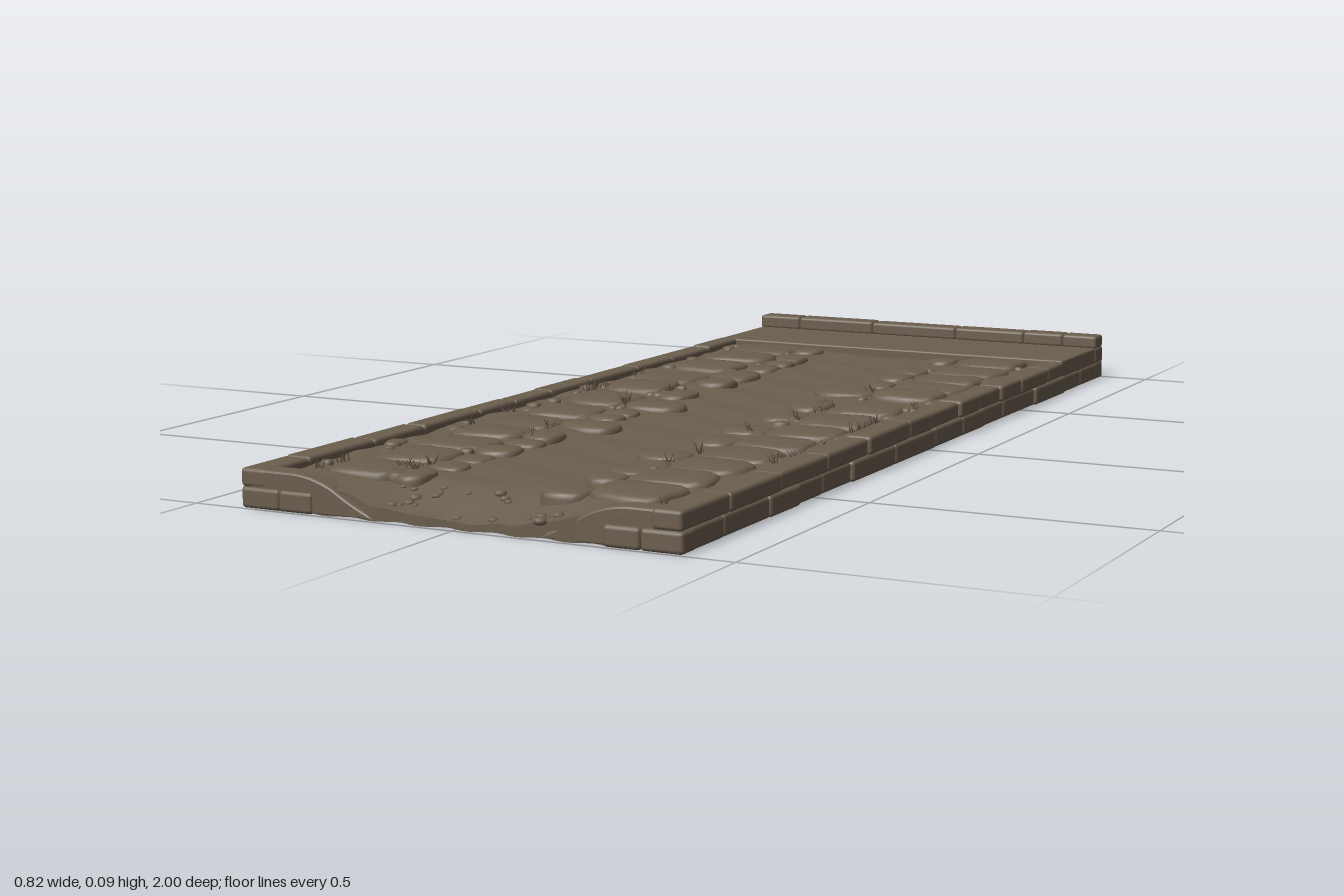
import * as THREE from 'three';
import { RoundedBoxGeometry } from 'three/addons/geometries/RoundedBoxGeometry.js';

let seed = 7;
const rand = (a = 0, b = 1) => {
  seed = (seed * 16807) % 2147483647;
  return a + (b - a) * (seed / 2147483647);
};
const smooth = THREE.MathUtils.smoothstep;

// Height of the trodden earth: a shallow trough that spills down at the front
function groundHeight(x, z) {
  const ripple = 0.0018 * Math.sin(x * 31 + z * 17) + 0.0014 * Math.sin(z * 43 - x * 23) + 0.001 * Math.sin(x * 90 + z * 71);
  const bank = 0.004 * smooth(Math.abs(x), 0.08, 0.22);
  const spill = smooth(z, 0.84, 1) * (1 - smooth(Math.abs(x), 0.1, 0.29));
  return 0.05 + bank + ripple - 0.036 * spill;
}

// Domed paving stone with a rounded-square outline, lofted from rings
function stoneGeometry(w, d, h, power) {
  const rings = [[1, 0], [1, 0.6], [0.95, 0.82], [0.86, 0.94], [0.6, 1], [0, 1.03]];
  const n = 20, pos = [], index = [];
  const wobble = rand(0, 6), amount = rand(0.02, 0.07);
  for (const [s, t] of rings) for (let i = 0; i < n; i++) {
    const a = (i / n) * Math.PI * 2, c = Math.cos(a), q = Math.sin(a);
    const r = s * (1 + amount * Math.sin(a * 3 + wobble)) / Math.pow(Math.abs(c) ** power + Math.abs(q) ** power, 1 / power);
    pos.push(c * r * w / 2, t * h, q * r * d / 2);
  }
  for (let k = 0; k < rings.length - 1; k++) for (let i = 0; i < n; i++) {
    const a = k * n + i, b = k * n + (i + 1) % n;
    index.push(a, a + n, b, b, a + n, b + n);
  }
  const g = new THREE.BufferGeometry();
  g.setAttribute('position', new THREE.Float32BufferAttribute(pos, 3));
  g.setIndex(index);
  g.computeVertexNormals();
  return g;
}

export function createModel() {
  const root = new THREE.Group();
  const earth = new THREE.MeshStandardMaterial({ color: 0x6b5e4e, side: THREE.DoubleSide });
  earth.name = 'brown stone';

  const group = (name) => {
    const g = new THREE.Group();
    g.name = name;
    root.add(g);
    return g;
  };
  const add = (parent, name, geometry, x, y, z) => {
    const m = new THREE.Mesh(geometry, earth);
    m.name = name;
    m.position.set(x, y, z);
    parent.add(m);
    return m;
  };
  const block = (parent, name, x0, x1, y0, y1, z0, z1, r = 0.007) =>
    add(parent, name, new RoundedBoxGeometry(x1 - x0, y1 - y0, z1 - z0, 2, r), (x0 + x1) / 2, (y0 + y1) / 2, (z0 + z1) / 2);

  // Earth bed: a solid box whose top follows the ground height
  const bed = new THREE.BoxGeometry(0.74, 1, 1.745, 60, 1, 120);
  bed.translate(0, 0.5, 0.117);
  const p = bed.attributes.position;
  for (let i = 0; i < p.count; i++) {
    const x = p.getX(i), z = p.getZ(i);
    if (p.getY(i) > 0.5) p.setY(i, groundHeight(x, z));
    if (z > 0.985) p.setZ(i, z + 0.006 * Math.sin(x * 70) - 0.003);
  }
  bed.computeVertexNormals();
  add(root, 'earthBed', bed, 0, 0, 0);

  // Side walls: two courses of worn blocks with staggered joints
  for (const side of [-1, 1]) {
    const wall = group(side < 0 ? 'rightWall' : 'leftWall');
    add(wall, 'wallCore', new THREE.BoxGeometry(0.036, 0.06, 1.72), side * 0.379, 0.03, 0.12);
    [[0, 0.037], [0.035, 0.068]].forEach(([y0, y1], course) => {
      let z = -0.745;
      while (z < 0.99) {
        let end = z + rand(0.09, 0.2);
        if (end > 0.92) end = 0.995;
        const bulge = smooth(z, 0.25, 0.75) * (side < 0 ? 0.009 : 0.004);
        const outer = 0.405 + bulge + rand(-0.003, 0.003) - course * 0.001;
        const inner = side < 0 ? 0.361 : 0.354;
        const xs = [side * inner, side * outer].sort((a, b) => a - b);
        const b = block(wall, 'wallBlock', xs[0], xs[1], y0, y1 + course * rand(-0.002, 0.001), z, end);
        if (course) b.rotation.y = rand(-0.015, 0.015);
        z = end;
      }
    });
  }

  // Broken front kerb: blocks worn down towards the middle
  for (const side of [-1, 1]) {
    const kerb = group(side < 0 ? 'frontKerbRight' : 'frontKerbLeft');
    const s = new THREE.Shape();
    s.moveTo(0.16, 0.004);
    s.lineTo(0.39, 0.004);
    s.lineTo(0.39, 0.062);
    s.lineTo(0.31, 0.062);
    s.quadraticCurveTo(0.26, 0.06, 0.22, 0.034);
    s.quadraticCurveTo(0.19, 0.016, 0.16, 0.004);
    const g = new THREE.ExtrudeGeometry(s, { depth: 0.033, bevelSize: 0.004, bevelThickness: 0.005, bevelSegments: 2, curveSegments: 8 });
    const m = add(kerb, 'wornKerb', g, 0, 0, side < 0 ? 0.989 : 0.951);
    if (side < 0) m.rotation.y = Math.PI;
    const edges = [0.27, 0.335, 0.41];
    for (let i = 0; i < 2; i++) {
      const [a, b] = [side * edges[i], side * edges[i + 1]].sort((u, v) => u - v);
      block(kerb, 'kerbBlock', a, b, 0, 0.036, 0.95, 0.998);
    }
  }

  // Back platform with coursed ends and a raised kerb
  const platform = group('backPlatform');
  block(platform, 'platformSlab', -0.4, 0.4, 0.03, 0.068, -0.96, -0.742, 0.004);
  block(platform, 'platformBase', -0.395, 0.395, 0, 0.04, -0.985, -0.742, 0.003);
  for (const side of [-1, 1]) for (const [z0, z1] of [[-0.955, -0.85], [-0.85, -0.745]]) {
    const xs = [side * 0.37, side * 0.403].sort((a, b) => a - b);
    block(platform, 'endBlock', xs[0], xs[1], 0, 0.036, z0, z1);
  }
  const joints = [-0.402, -0.305, -0.125, 0.075, 0.235, 0.325, 0.402];
  for (let i = 0; i < 6; i++) {
    block(platform, 'backKerbBlock', joints[i], joints[i + 1], 0.066, 0.095 - rand(0, 0.002), -0.998, -0.951, 0.006);
    const shift = i % 2 ? 0.03 : -0.03;
    const a = i ? joints[i] - shift : joints[i], b = i < 5 ? joints[i + 1] + shift : joints[i + 1];
    block(platform, 'backWallBlock', a, b, 0.034, 0.068, -0.999, -0.95, 0.005);
    block(platform, 'backBaseBlock', joints[i], joints[i + 1], 0, 0.036, -0.999, -0.95, 0.005);
  }

  // Paving: one row of large slabs along each wall
  const paving = group('pavingSlabs');
  const stone = (parent, name, x, z, w, d, top, power) => {
    const m = add(parent, name, stoneGeometry(w, d, top - 0.03, power), x, 0.03, z);
    m.rotation.set(rand(-0.02, 0.02), rand(-0.06, 0.06), rand(-0.02, 0.02));
  };
  const slabRows = [
    [-0.265, [-0.69, -0.565, -0.42, -0.245, -0.11, 0.06, 0.205, 0.355, 0.47, 0.585, 0.71, 0.85]],
    [0.26, [-0.69, -0.565, -0.445, -0.345, -0.24, -0.04, 0.095, 0.23, 0.36, 0.475, 0.6, 0.715, 0.84]],
  ];
  for (const [x, zs] of slabRows) zs.forEach((z, i) => {
    const gap = Math.min(zs[i + 1] ? zs[i + 1] - z : 0.13, i ? z - zs[i - 1] : 0.13);
    const shift = x < 0 ? 0.018 * smooth(z, -0.3, 0.1) : -0.012 * smooth(z, 0.3, 0.8);
    stone(paving, 'slab', x + shift, z, rand(0.132, 0.15), Math.min(gap + 0.003, 0.128), rand(0.061, 0.066), 5);
  });

  // Smaller cobbles on the inner side: x, z, width, depth
  const cobbles = group('innerCobbles');
  const cobbleList = [
    [-0.17, -0.71, 0.06, 0.08], [-0.155, -0.59, 0.065, 0.075], [-0.15, -0.52, 0.065, 0.06], [-0.15, -0.44, 0.07, 0.08],
    [-0.15, -0.32, 0.085, 0.11], [-0.15, -0.225, 0.08, 0.09], [-0.145, -0.05, 0.07, 0.1], [-0.13, 0.07, 0.12, 0.1],
    [-0.15, 0.17, 0.07, 0.07], [-0.145, 0.24, 0.075, 0.06], [-0.125, 0.335, 0.12, 0.08], [-0.15, 0.46, 0.075, 0.08],
    [-0.145, 0.53, 0.075, 0.065], [-0.145, 0.615, 0.08, 0.085], [-0.145, 0.7, 0.07, 0.07], [-0.15, 0.77, 0.075, 0.065], [-0.16, 0.86, 0.07, 0.08],
    [0.145, -0.71, 0.06, 0.07], [0.145, -0.53, 0.07, 0.07], [0.15, -0.44, 0.07, 0.08], [0.155, -0.35, 0.06, 0.07],
    [0.135, -0.24, 0.125, 0.125], [0.14, -0.05, 0.08, 0.1], [0.145, 0.08, 0.09, 0.1], [0.145, 0.24, 0.1, 0.085],
    [0.145, 0.36, 0.085, 0.08], [0.13, 0.53, 0.1, 0.08], [0.145, 0.67, 0.08, 0.07], [0.14, 0.745, 0.07, 0.07], [0.14, 0.87, 0.08, 0.09],
  ];
  for (const [x, z, w, d] of cobbleList) stone(cobbles, 'cobble', x, z, w, d, rand(0.058, 0.063), 2.6);

  // Pebbles in the joints and loose rubble on the front spill
  const pebbles = group('pebbles');
  for (let i = 0; i < 90; i++) {
    const side = i % 2 ? 1 : -1, r = rand(0.008, 0.019);
    const x = side * (i % 4 < 2 ? rand(0.325, 0.35) : rand(0.175, 0.2));
    stone(pebbles, 'pebble', x, rand(-0.72, 0.93), r * 2, r * rand(1.6, 2.6), rand(0.057, 0.062), 2.2);
  }
  for (let i = 0; i < 24; i++) {
    const x = rand(-0.2, 0.2), z = rand(0.88, 0.985), r = rand(0.005, 0.012);
    const m = add(pebbles, 'rubble', new THREE.SphereGeometry(r, 8, 6), x, Math.max(groundHeight(x, z), r * 0.6), z);
    m.scale.y = 0.6;
  }

  // Grass tufts: fans of thin curved-out blades
  const tufts = group('grassTufts');
  const blade = new THREE.ConeGeometry(0.0025, 0.022, 3);
  blade.translate(0, 0.011, 0);
  for (let i = 0; i < 34; i++) {
    const side = i % 2 ? 1 : -1;
    const x = side * (i % 4 < 2 ? rand(0.325, 0.348) : rand(0.165, 0.2)), z = rand(-0.25, 0.94);
    for (let k = 0; k < 6; k++) {
      const m = add(tufts, 'blade', blade, x + rand(-0.007, 0.007), groundHeight(x, z) - 0.002, z + rand(-0.007, 0.007));
      m.rotation.set(rand(-0.6, 0.6), 0, rand(-0.6, 0.6));
      m.scale.y = rand(0.7, 1.35);
    }
  }
  return root;
}
